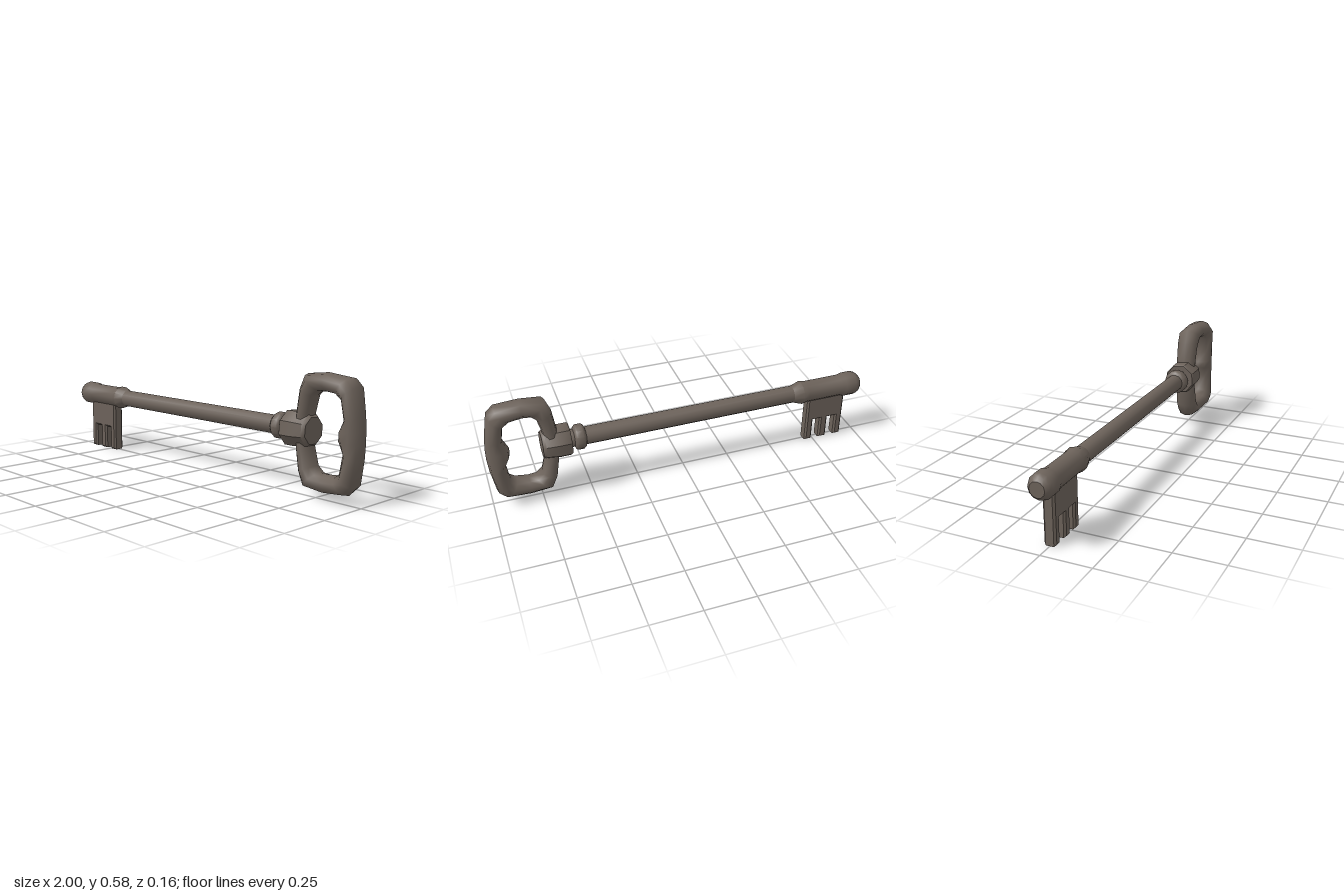
import * as THREE from 'three';
import { toCreasedNormals } from 'three/addons/utils/BufferGeometryUtils.js';

const AXIS_Y = 0.305;

export function createModel() {
  const key = new THREE.Group();
  key.name = 'key';
  const iron = new THREE.MeshStandardMaterial({ color: 0x6c625a });
  iron.name = 'dark iron';

  const add = (name, geometry) => {
    const mesh = new THREE.Mesh(geometry, iron);
    mesh.name = name;
    key.add(mesh);
    return mesh;
  };

  // Turned part along x, from [x, radius] pairs
  const turned = (name, profile, sides = 12, twist = 0) => {
    const points = profile.map(([x, r]) => new THREE.Vector2(r, x));
    const geometry = new THREE.LatheGeometry(points, sides, twist);
    geometry.rotateZ(-Math.PI / 2);
    add(name, toCreasedNormals(geometry, 0.7)).position.y = AXIS_Y;
  };

  turned('shaft', [[-0.64, 0.045], [0.61, 0.045]]);
  turned('bitBarrel', [[-1, 0], [-1, 0.038], [-0.985, 0.054], [-0.965, 0.063], [-0.91, 0.063],
    [-0.885, 0.056], [-0.69, 0.056], [-0.66, 0.062], [-0.61, 0.045]]);
  turned('collar', [[0.51, 0.044], [0.515, 0.056], [0.525, 0.064], [0.555, 0.064], [0.565, 0.056], [0.57, 0.044]]);
  turned('hub', [[0.588, 0], [0.588, 0.08], [0.595, 0.086], [0.65, 0.086], [0.715, 0.078], [0.73, 0.066], [0.73, 0]], 8, 0.3);

  // Comb-shaped bit with three teeth
  const comb = new THREE.Shape();
  comb.moveTo(-0.915, 0.3);
  [[-0.915, -0.873], [-0.828, -0.782], [-0.742, -0.7]].forEach(([x0, x1], i) => {
    if (i) comb.lineTo(x0, 0.125);
    comb.lineTo(x0, 0);
    comb.lineTo(x1, 0);
    if (i < 2) comb.lineTo(x1, 0.125);
  });
  comb.lineTo(-0.7, 0.3);
  const bit = new THREE.ExtrudeGeometry(comb, {
    depth: 0.04, bevelEnabled: true, bevelThickness: 0.01, bevelSize: 0.009, bevelOffset: -0.009, bevelSegments: 1,
  });
  bit.translate(0, 0, -0.02);
  add('bitTeeth', bit);

  // Handle loop: outer x, y, inner x, y (above the axis), half depth
  const half = [
    [0.64, 0, 0.715, 0, 0.055],
    [0.647, 0.075, 0.722, 0.08, 0.055],
    [0.665, 0.19, 0.743, 0.16, 0.058],
    [0.693, 0.258, 0.775, 0.184, 0.06],
    [0.81, 0.272, 0.81, 0.185, 0.055],
    [0.935, 0.26, 0.868, 0.18, 0.065],
    [0.972, 0.222, 0.9, 0.158, 0.069],
    [0.993, 0.1, 0.913, 0.07, 0.06],
    [0.999, 0.03, 0.885, 0.018, 0.063],
  ];
  const mirrored = half.slice(1).reverse().map(([a, b, c, d, e]) => [a, -b, c, -d, e]);
  const rings = [...half, ...mirrored];
  const sides = 10;
  const positions = [];
  const index = [];
  rings.forEach(([ox, oy, ix, iy, depth], i) => {
    const next = (i + 1) % rings.length;
    for (let j = 0; j < sides; j++) {
      const a = (j / sides) * Math.PI * 2;
      const t = (1 + Math.cos(a)) / 2;
      positions.push(ix + (ox - ix) * t, AXIS_Y + iy + (oy - iy) * t, depth * Math.sin(a));
      const k = (j + 1) % sides;
      const [p, q, r, s] = [i * sides + j, i * sides + k, next * sides + k, next * sides + j];
      index.push(p, q, r, p, r, s);
    }
  });
  const loop = new THREE.BufferGeometry();
  loop.setAttribute('position', new THREE.Float32BufferAttribute(positions, 3));
  loop.setIndex(index);
  loop.computeVertexNormals();
  add('handleLoop', loop);

  return key;
}
